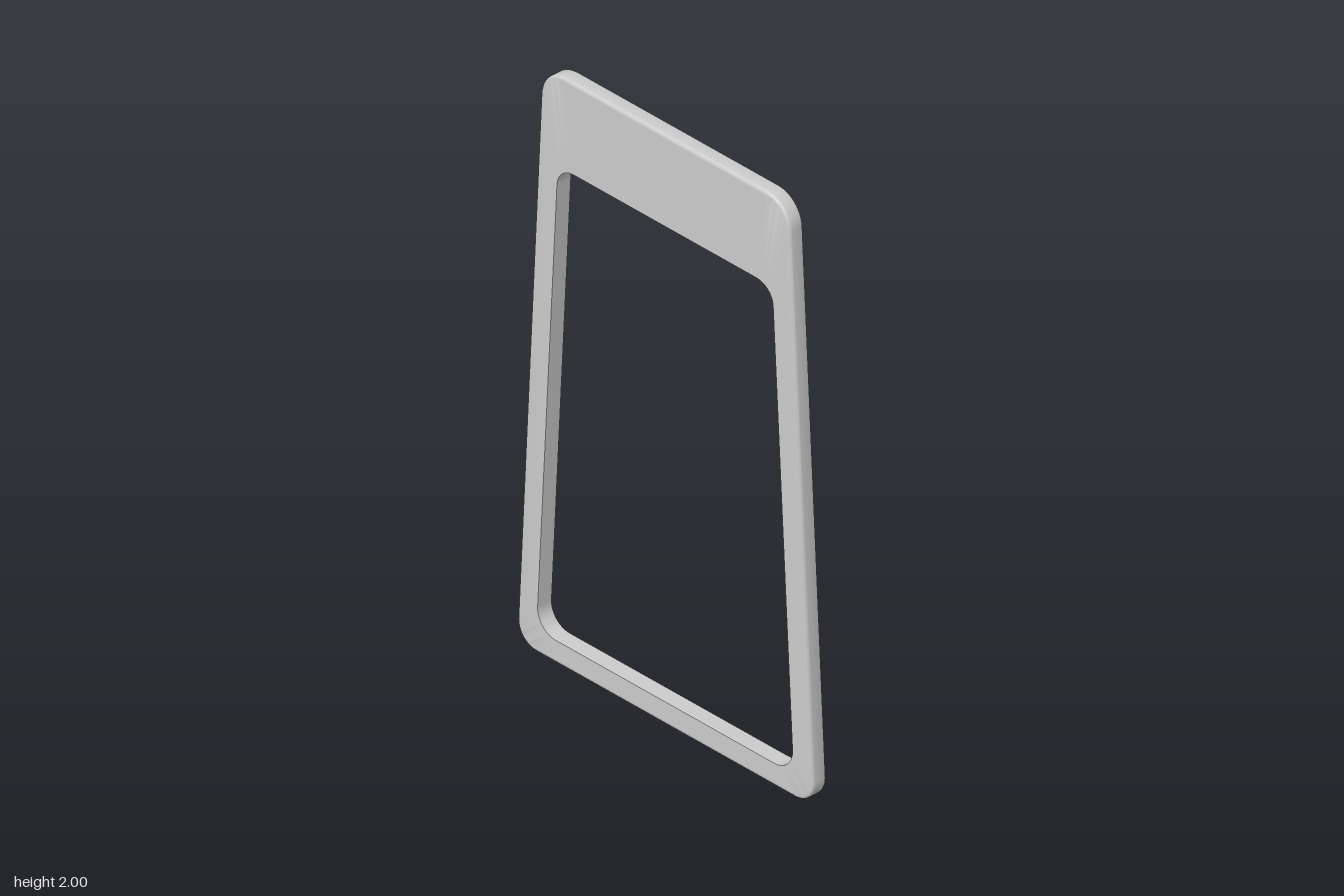
import * as THREE from 'three';
import { toCreasedNormals } from 'three/addons/utils/BufferGeometryUtils.js';

const HALF = 0.0275;   // half thickness
const BEVEL = 0.01;    // rounding of the outer edges
const ARC = 12;        // segments per corner

const OUTER = { bottom: 0, top: 2, xBottom: 0.609, xTop: 0.505, rBottom: 0.075, rTop: 0.1 };
const INNER = { bottom: 0.077, top: 1.69, xBottom: 0.526, xTop: 0.439, rBottom: 0.075, rTop: 0.068 };

// Counter-clockwise loop of a tapered rectangle with rounded corners, shrunk by inset
function taperedLoop(t, inset, z) {
  const slope = (t.xBottom - t.xTop) / (t.top - t.bottom);
  const lean = Math.atan(slope);
  const right = [];
  const corner = (cy, r, from, to) => {
    const cx = t.xBottom - slope * (cy - t.bottom) - r / Math.cos(lean);
    for (let i = 0; i <= ARC; i++) {
      const a = from + (to - from) * i / ARC;
      right.push([cx + (r - inset) * Math.cos(a), cy + (r - inset) * Math.sin(a), z]);
    }
  };
  corner(t.bottom + t.rBottom, t.rBottom, -Math.PI / 2, lean);
  corner(t.top - t.rTop, t.rTop, lean, Math.PI / 2);
  const left = right.map(([x, y]) => [-x, y, z]).reverse();
  return [...right, ...left];
}

// Joins successive loops, and the last back to the first, into a closed ring
function skin(loops) {
  const positions = [];
  loops.forEach((loop, k) => {
    const next = loops[(k + 1) % loops.length];
    loop.forEach((a, i) => {
      const j = (i + 1) % loop.length;
      positions.push(...a, ...loop[j], ...next[j], ...a, ...next[j], ...next[i]);
    });
  });
  const geometry = new THREE.BufferGeometry();
  geometry.setAttribute('position', new THREE.Float32BufferAttribute(positions, 3));
  return toCreasedNormals(geometry, 0.7);
}

export function createModel() {
  const group = new THREE.Group();
  group.name = 'taperedFrame';

  // Rounded edge from the side wall to the front; the last entry keeps the face flat
  const edge = [];
  for (let i = 0; i <= 4; i++) {
    const a = i / 4 * Math.PI / 2;
    edge.push([BEVEL * (1 - Math.cos(a)), HALF - BEVEL * (1 - Math.sin(a))]);
  }
  edge.push([BEVEL + 0.002, HALF]);

  // Cross-section: outer back edge, outer front edge, then the sharp-edged opening
  const loops = [
    ...[...edge].reverse().map(([inset, z]) => taperedLoop(OUTER, inset, -z)),
    ...edge.map(([inset, z]) => taperedLoop(OUTER, inset, z)),
    taperedLoop(INNER, 0, HALF),
    taperedLoop(INNER, 0, -HALF),
  ];

  const frame = new THREE.Mesh(skin(loops), new THREE.MeshStandardMaterial({ color: 0xcccccc }));
  frame.name = 'framePanel';
  group.add(frame);
  return group;
}
